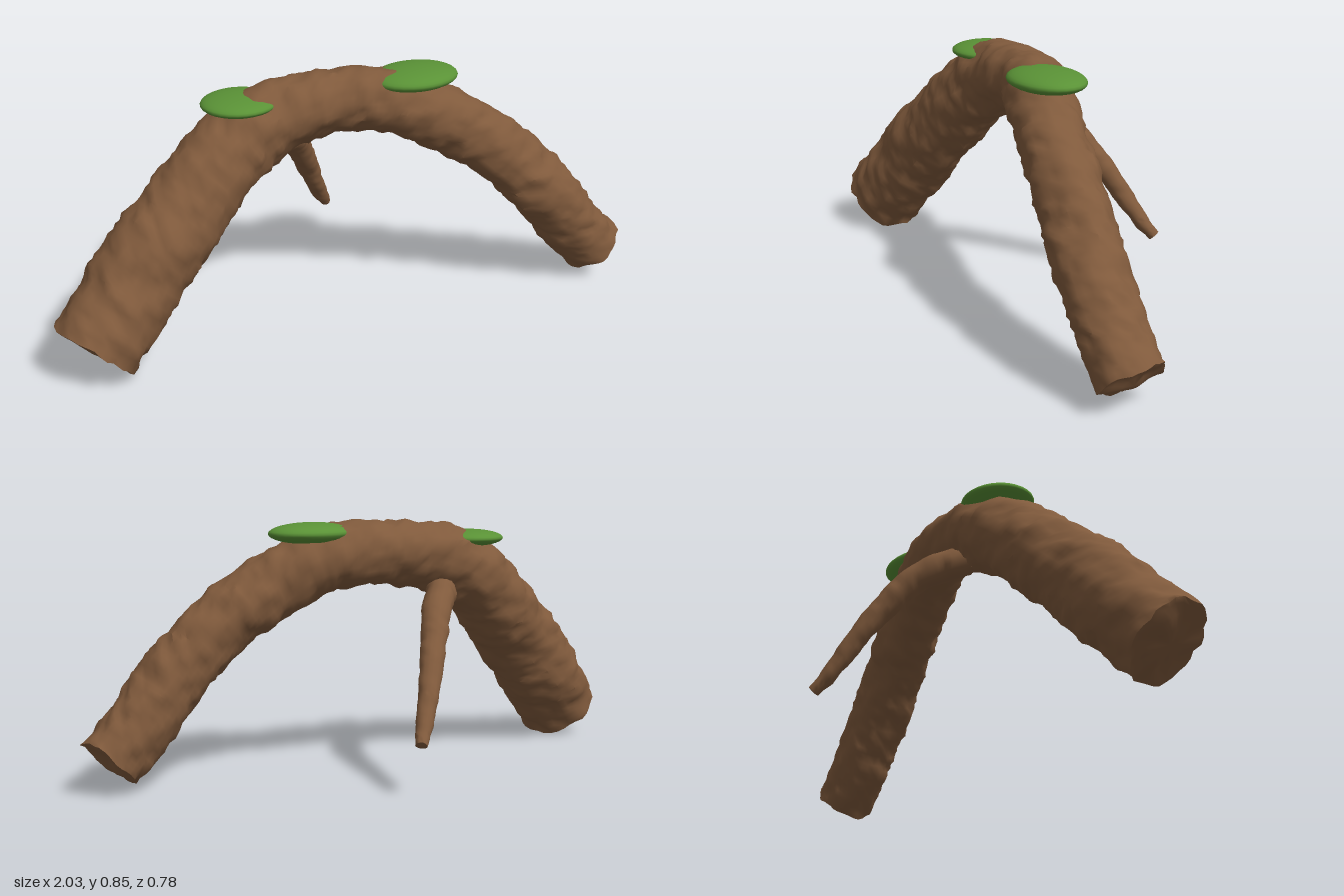
import * as THREE from 'three';
import { mergeVertices, toCreasedNormals } from 'three/addons/utils/BufferGeometryUtils.js';

// Smooth repeatable value noise in the range -1..1
function hash(x, y, z) {
  const s = Math.sin(x * 127.1 + y * 311.7 + z * 74.7) * 43758.5453;
  return (s - Math.floor(s)) * 2 - 1;
}
function noise(x, y, z) {
  const c = [x, y, z].map(Math.floor);
  const f = [x, y, z].map((v, i) => (v - c[i]) ** 2 * (3 - 2 * (v - c[i])));
  let sum = 0;
  for (let k = 0; k < 8; k++) {
    const b = [k & 1, (k >> 1) & 1, k >> 2];
    const w = b.reduce((p, on, i) => p * (on ? f[i] : 1 - f[i]), 1);
    sum += w * hash(c[0] + b[0], c[1] + b[1], c[2] + b[2]);
  }
  return sum;
}

// Gnarled tube with closed ends; each path point is [x, y, z, radius]
function barkTube(path, rings, sides, rough) {
  const curve = new THREE.CatmullRomCurve3(path.map(p => new THREE.Vector3(p[0], p[1], p[2])));
  const frames = curve.computeFrenetFrames(rings, false);
  const radiusAt = u => {
    const s = curve.getUtoTmapping(u) * (path.length - 1);
    const i = Math.min(Math.floor(s), path.length - 2);
    return THREE.MathUtils.lerp(path[i][3], path[i + 1][3], s - i);
  };
  // Cap rings shrink to the centre at both ends
  const loops = [[0, 0], [0, 0.35], [0, 0.65], [0, 0.88]];
  for (let i = 0; i <= rings; i++) loops.push([i, 1]);
  loops.push([rings, 0.88], [rings, 0.65], [rings, 0.35], [rings, 0]);

  const pos = [], index = [];
  loops.forEach(([i, scale], row) => {
    const c = curve.getPointAt(i / rings);
    const r = radiusAt(i / rings);
    const end = i === 0 ? -1 : i === rings ? 1 : 0;
    for (let j = 0; j < sides; j++) {
      const a = (j / sides) * Math.PI * 2;
      const dir = frames.normals[i].clone().multiplyScalar(Math.cos(a))
        .addScaledVector(frames.binormals[i], Math.sin(a));
      const p = c.clone().addScaledVector(dir, r);
      const bump = noise(p.x * 9, p.y * 9, p.z * 9) * 0.7
        + noise(p.x * 22 + 7, p.y * 22, p.z * 22) * 0.7
        + noise(p.x * 48, p.y * 48 + 3, p.z * 48) * 0.5;
      const v = c.clone().addScaledVector(dir, (r + bump * rough) * scale);
      // Uneven, slightly domed break at each end
      const push = (1 - scale) * 0.1 * r + noise(v.x * 20, v.y * 20, v.z * 20) * rough * 0.9;
      v.addScaledVector(frames.tangents[i], end * push);
      pos.push(v.x, v.y, v.z);
      if (row > 0) {
        const k = (j + 1) % sides, b = row * sides, d = b - sides;
        index.push(d + j, d + k, b + j, d + k, b + k, b + j);
      }
    }
  });
  let geo = new THREE.BufferGeometry();
  geo.setAttribute('position', new THREE.Float32BufferAttribute(pos, 3));
  geo.setIndex(index);
  geo = mergeVertices(geo, 1e-5);
  return toCreasedNormals(geo, 1.0);
}

export function createModel() {
  const group = new THREE.Group();
  const bark = new THREE.MeshStandardMaterial({ color: 0x805a3c });
  bark.name = 'bark brown';
  const moss = new THREE.MeshStandardMaterial({ color: 0x5a9236 });
  moss.name = 'moss green';
  const add = (name, geo, mat) => {
    const mesh = new THREE.Mesh(geo, mat);
    mesh.name = name;
    group.add(mesh);
    return mesh;
  };

  // Arched main root, thicker at its right foot
  add('archedRoot', barkTube([
    [-0.904, 0.106, 0.115, 0.138],
    [-0.76, 0.265, 0.078, 0.15],
    [-0.6, 0.43, 0.05, 0.143],
    [-0.33, 0.662, 0.003, 0.13],
    [-0.17, 0.73, 0.01, 0.115],
    [0.02, 0.75, 0.04, 0.106],
    [0.2, 0.73, 0.11, 0.108],
    [0.38, 0.642, 0.18, 0.11],
    [0.53, 0.53, 0.225, 0.11],
    [0.69, 0.37, 0.26, 0.108],
    [0.82, 0.22, 0.275, 0.105],
    [0.923, 0.107, 0.28, 0.102],
  ], 130, 34, 0.0145), bark);

  // Thin side root drooping behind
  add('sideRoot', barkTube([
    [-0.19, 0.62, -0.03, 0.05],
    [-0.12, 0.592, -0.1, 0.053],
    [-0.055, 0.55, -0.16, 0.048],
    [0.01, 0.46, -0.222, 0.042],
    [0.08, 0.345, -0.285, 0.033],
    [0.14, 0.243, -0.335, 0.026],
    [0.186, 0.175, -0.373, 0.02],
  ], 56, 16, 0.006), bark);

  // Flat moss cushions: centre and half sizes
  const cushions = [
    ['rightMoss', [-0.325, 0.785, -0.01], [0.126, 0.03, 0.119]],
    ['leftMoss', [0.25, 0.817, 0.122], [0.153, 0.036, 0.116]],
  ];
  for (const [name, at, size] of cushions) {
    const mesh = add(name, new THREE.SphereGeometry(1, 28, 16), moss);
    mesh.position.set(...at);
    mesh.scale.set(...size);
  }
  return group;
}
